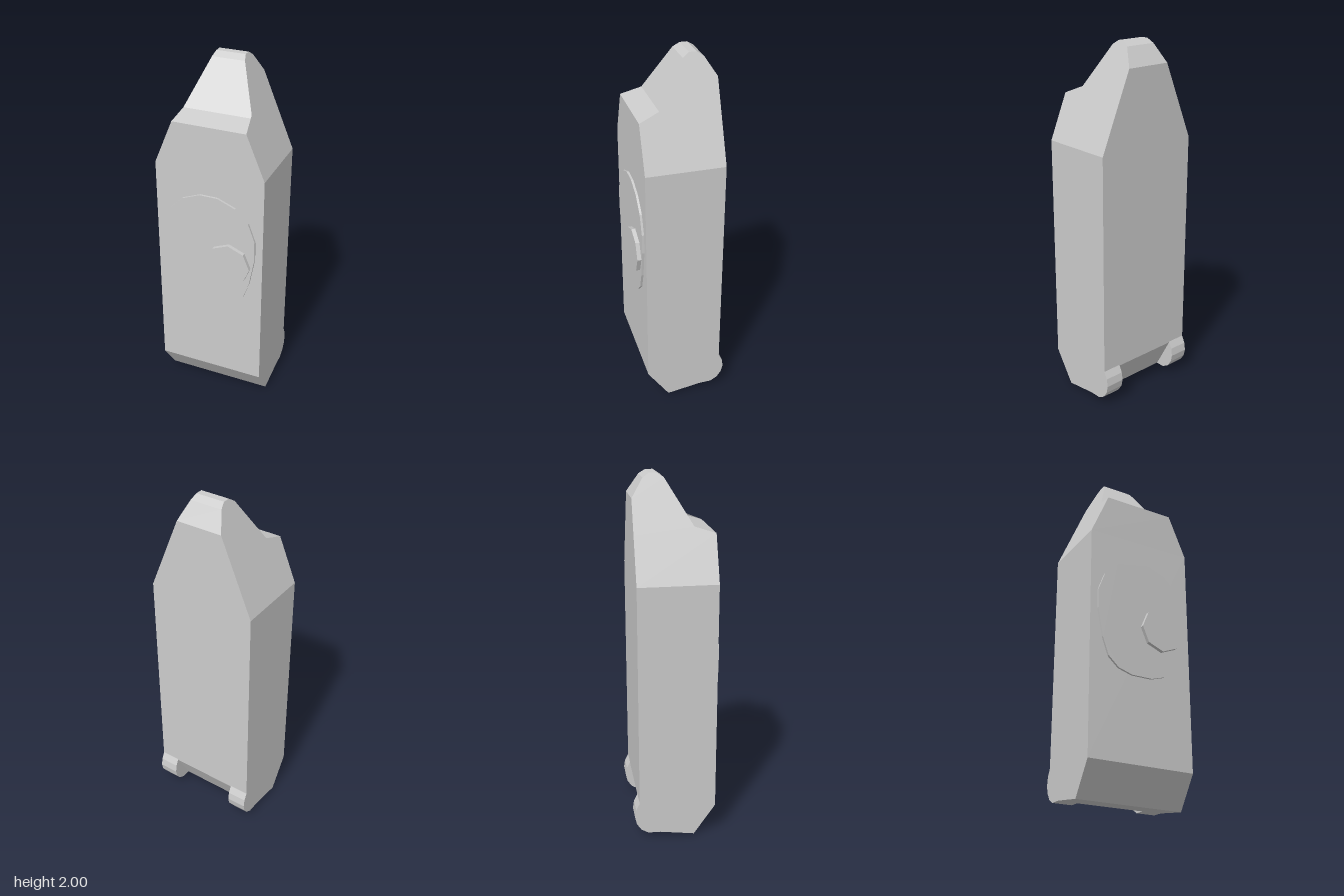
import * as THREE from 'three';

const material = new THREE.MeshStandardMaterial({ color: 0xcccccc, flatShading: true });

// Half width of the body: straight sides, then a taper to the tip
const halfWidth = y => (y < 1.46 ? 0.305 : 0.305 - (y - 1.46) * (0.225 / 0.54));

function part(name, geometry) {
  const mesh = new THREE.Mesh(geometry, material);
  mesh.name = name;
  return mesh;
}

function extrude(points, depth) {
  const shape = new THREE.Shape(points.map(([x, y]) => new THREE.Vector2(x, y)));
  return new THREE.ExtrudeGeometry(shape, { depth, bevelEnabled: false });
}

// Body lofted through four-cornered sections: front z, front y, back z, back y
function bodyGeometry() {
  const rows = [
    [0.09, 0.005, -0.12, 0.037],
    [0.21, 0.18, -0.217, 0.22],
    [0.21, 1.46, -0.217, 1.46],
    [0.21, 1.705, -0.217, 1.705],
    [0.097, 1.74, -0.217, 1.88],
    [-0.045, 1.977, -0.155, 1.977],
    [-0.08, 2, -0.12, 2],
  ];
  const positions = [];
  const index = [];
  const quad = (a, b, c, d) => index.push(a, b, c, a, c, d);
  rows.forEach(([zf, yf, zb, yb], r) => {
    const wf = halfWidth(yf), wb = halfWidth(yb);
    positions.push(-wf, yf, zf, wf, yf, zf, wb, yb, zb, -wb, yb, zb);
    if (r === 0) return;
    const a = (r - 1) * 4, b = r * 4;
    for (let i = 0; i < 4; i++) {
      const j = (i + 1) % 4;
      quad(a + i, a + j, b + j, b + i);
    }
  });
  const t = (rows.length - 1) * 4;
  quad(0, 3, 2, 1);
  quad(t, t + 1, t + 2, t + 3);
  const indexed = new THREE.BufferGeometry();
  indexed.setAttribute('position', new THREE.Float32BufferAttribute(positions, 3));
  indexed.setIndex(index);
  const geometry = indexed.toNonIndexed();
  geometry.computeVertexNormals();
  return geometry;
}

export function createModel() {
  const model = new THREE.Group();
  model.name = 'lighter';
  model.add(part('body', bodyGeometry()));

  // Rounded lugs at the lower back corners (profile runs backwards, then up)
  const lugProfile = [
    [0.09, 0.034], [0.17, 0.036], [0.21, 0.06], [0.235, 0.098],
    [0.244, 0.14], [0.237, 0.185], [0.217, 0.225],
  ];
  for (const [name, x] of [['leftLug', 0.195], ['rightLug', -0.305]]) {
    const lug = part(name, extrude(lugProfile, 0.11).rotateY(Math.PI / 2));
    lug.position.x = x;
    model.add(lug);
  }

  // Thin egg-shaped plate on the front
  const half = [
    [0.06, 0.65], [0.14, 0.675], [0.2, 0.73], [0.235, 0.83], [0.264, 0.99],
    [0.264, 1.1], [0.225, 1.205], [0.15, 1.28], [0.05, 1.32],
  ];
  const outline = [...half, ...half.map(([x, y]) => [-x, y]).reverse()];
  const plate = part('frontPlate', extrude(outline, 0.022));
  plate.position.z = 0.2;
  model.add(plate);

  // Eight-sided button on the plate
  const button = part('button', new THREE.CylinderGeometry(0.124, 0.124, 0.033, 8).rotateX(Math.PI / 2));
  button.position.set(0.119, 0.935, 0.2275);
  model.add(button);

  return model;
}
